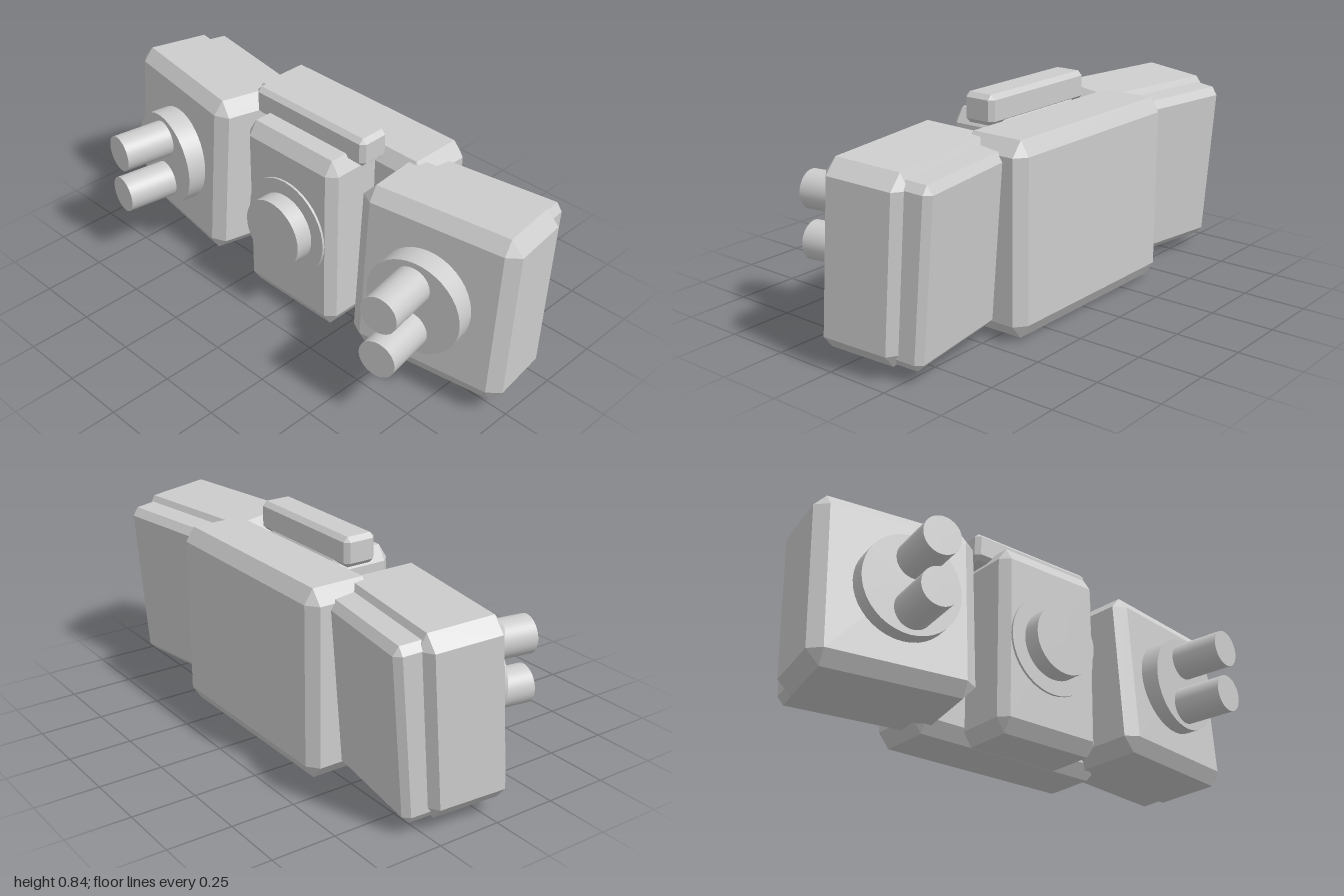
import * as THREE from 'three';
import { ConvexGeometry } from 'three/addons/geometries/ConvexGeometry.js';

const grey = new THREE.MeshStandardMaterial({ color: 0xcccccc });
grey.name = 'light grey';

function add(parent, name, geometry, x, y, z) {
  const mesh = new THREE.Mesh(geometry, grey);
  mesh.name = name;
  mesh.position.set(x, y, z);
  parent.add(mesh);
  return mesh;
}

// Box with bevelled edges; cx, cy, cz are the bevel sizes along each axis
function bevelBox(w, h, d, cx, cy = cx, cz = cx) {
  const points = [];
  for (const sx of [-1, 1]) for (const sy of [-1, 1]) for (const sz of [-1, 1]) {
    const x = w / 2, y = h / 2, z = d / 2;
    points.push(
      new THREE.Vector3(sx * x, sy * (y - cy), sz * (z - cz)),
      new THREE.Vector3(sx * (x - cx), sy * y, sz * (z - cz)),
      new THREE.Vector3(sx * (x - cx), sy * (y - cy), sz * z));
  }
  return new ConvexGeometry(points);
}

// Cylinder along z, from z = back to z = front
function rod(parent, name, r, x, y, back, front) {
  const g = new THREE.CylinderGeometry(r, r, front - back, 40).rotateX(Math.PI / 2);
  return add(parent, name, g, x, y, (back + front) / 2);
}

export function createModel() {
  const model = new THREE.Group();
  model.name = 'threePartDevice';

  // Central body
  add(model, 'backBlock', bevelBox(0.9, 0.73, 0.28, 0.045, 0.055, 0.035), 0, 0.38, -0.243);
  add(model, 'frontBlock', bevelBox(0.47, 0.757, 0.265, 0.035, 0.055, 0.035), 0, 0.379, -0.008);
  add(model, 'topBar', bevelBox(0.565, 0.115, 0.135, 0.018), 0, 0.783, -0.051);
  rod(model, 'centreDisc', 0.2, 0, 0.39, 0.08, 0.134);
  rod(model, 'centreButton', 0.14, 0, 0.39, 0.08, 0.205);

  // Side pods, turned outward and leaning back
  for (const s of [1, -1]) {
    const pod = new THREE.Group();
    pod.name = s > 0 ? 'leftPod' : 'rightPod';
    pod.rotation.y = s * 0.155;
    model.add(pod);

    const box = add(pod, 'podBody', bevelBox(0.64, 0.685, 0.325, 0.05, 0.055, 0.036), s * 0.66, 0.398, 0.037);
    const plate = add(pod, 'podBackPlate', bevelBox(0.6, 0.655, 0.14, 0.022, 0.03, 0.025), s * 0.643, 0.378, -0.137);
    box.rotation.x = -0.07;
    plate.rotation.x = -0.08;

    rod(pod, 'podDisc', 0.193, s * 0.643, 0.408, 0.14, 0.274);
    for (const y of [0.31, 0.505]) rod(pod, 'peg', 0.074, s * 0.636, y, 0.2, 0.48);
  }
  return model;
}
